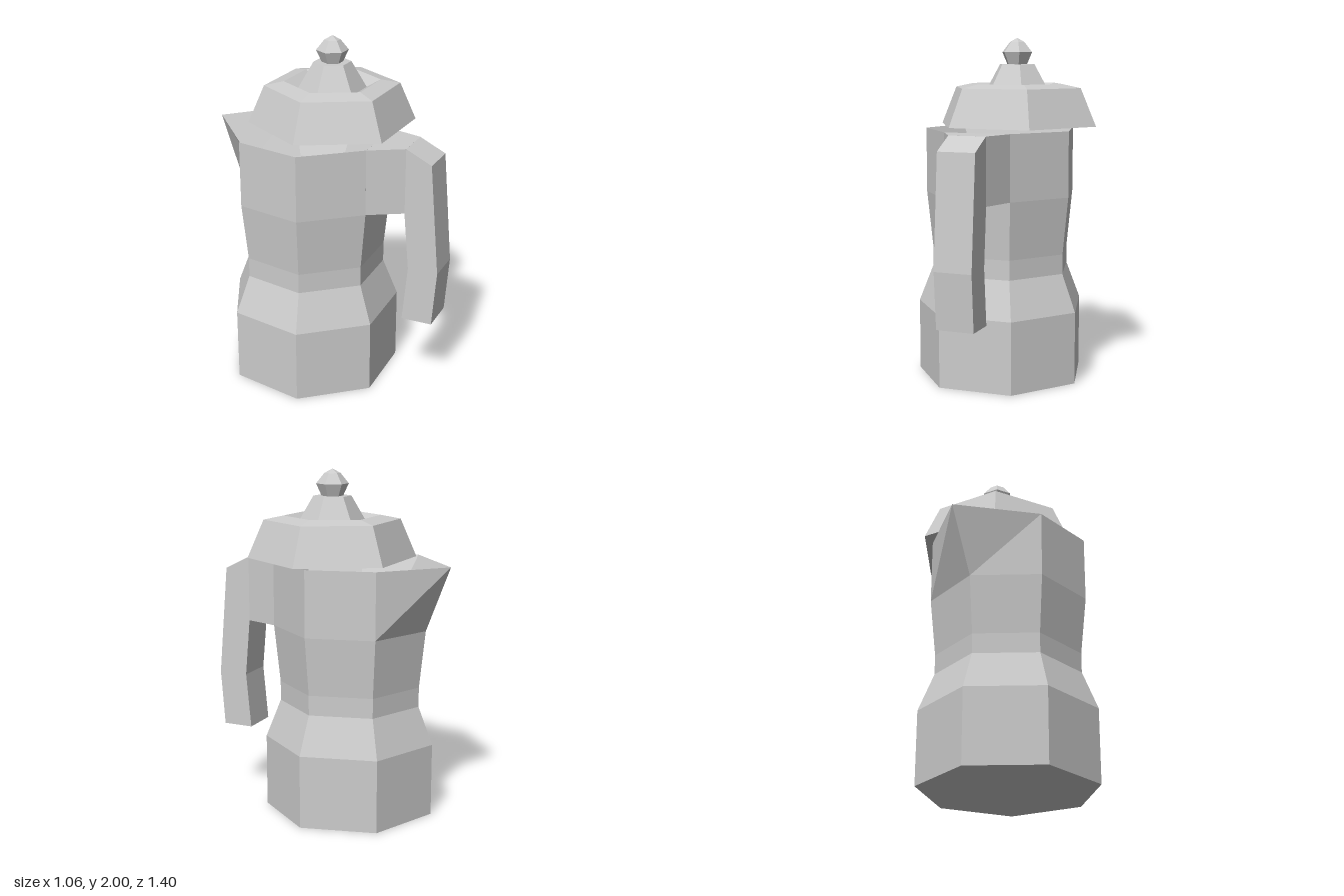
import * as THREE from 'three';

const material = new THREE.MeshStandardMaterial({ color: 0xcccccc, flatShading: true });

// Closed faceted solid through rings of equal point count, capped at both ends
function loft(rings) {
  const pos = [];
  const tri = (a, b, c) => pos.push(...a, ...b, ...c);
  const n = rings[0].length;
  for (let r = 0; r < rings.length - 1; r++) {
    const lo = rings[r], hi = rings[r + 1];
    for (let i = 0; i < n; i++) {
      const j = (i + 1) % n;
      tri(lo[i], hi[i], lo[j]);
      tri(hi[i], hi[j], lo[j]);
    }
  }
  const first = rings[0], last = rings[rings.length - 1];
  for (let i = 1; i < n - 1; i++) {
    tri(first[0], first[i], first[i + 1]);
    tri(last[0], last[i + 1], last[i]);
  }
  const geo = new THREE.BufferGeometry();
  geo.setAttribute('position', new THREE.Float32BufferAttribute(pos, 3));
  geo.computeVertexNormals();
  return geo;
}

// Horizontal regular polygon
function ring(sides, cx, cz, radius, y, turn = 0) {
  return Array.from({ length: sides }, (_, i) => {
    const a = turn + (i / sides) * Math.PI * 2;
    return [cx + radius * Math.cos(a), y, cz + radius * Math.sin(a)];
  });
}

export function createModel() {
  const model = new THREE.Group();
  const add = (name, geo) => {
    const mesh = new THREE.Mesh(geo, material);
    mesh.name = name;
    model.add(mesh);
    return mesh;
  };

  // Seven-sided waisted body with a funnel-shaped hollow in the top
  const bodyRings = [
    [0.505, 0], [0.505, 0.425], [0.418, 0.645], [0.418, 0.76],
    [0.453, 1.095], [0.453, 1.475], [0.3, 1.21],
  ].map(([r, y]) => ring(7, -0.08, -0.105, r, y));
  // Pull one rim corner out into the spout, and the hollow with it
  bodyRings[5][5][2] -= 0.153;
  bodyRings[6][5][2] -= 0.11;
  add('body', loft(bodyRings));

  // Bridge tapering from one body face to the grip
  add('handleBridge', loft([
    [[0.202, 1.095, 0.249], [-0.181, 1.095, 0.337], [-0.181, 1.475, 0.337], [0.202, 1.475, 0.249]],
    [[0.18, 1.095, 0.455], [-0.035, 1.095, 0.5], [-0.035, 1.475, 0.5], [0.18, 1.475, 0.455]],
  ]));

  // Grip: bent side profile given thickness
  const profile = new THREE.Shape([
    [0, 1.475], [0, 1.095], [0.03, 0.76], [0, 0.435],
    [0.18, 0.435], [0.205, 0.76], [0.15, 1.4],
  ].map(([x, y]) => new THREE.Vector2(x, y)));
  const grip = new THREE.ExtrudeGeometry(profile, { depth: 0.22, bevelEnabled: false });
  const out = new THREE.Vector3(0.2, 0, 0.98).normalize();
  const up = new THREE.Vector3(0, 1, 0);
  const across = new THREE.Vector3().crossVectors(out, up);
  grip.applyMatrix4(new THREE.Matrix4().makeBasis(out, up, across).setPosition(0.18, 0, 0.455));
  add('handleGrip', grip);

  // Six-sided parts stacked on the lid axis
  const hexStack = (rows) => loft(rows.map(([r, y]) =>
    ring(6, 0.053, -0.061, r, y, THREE.MathUtils.degToRad(-10))));

  // Lid with a groove around its raised centre
  add('lid', hexStack([
    [0.48, 1.505], [0.387, 1.72], [0.275, 1.742], [0.195, 1.7], [0.107, 1.852],
  ]));
  add('knob', hexStack([
    [0.06, 1.85], [0.092, 1.92], [0.045, 1.978], [0.004, 2],
  ]));

  return model;
}
